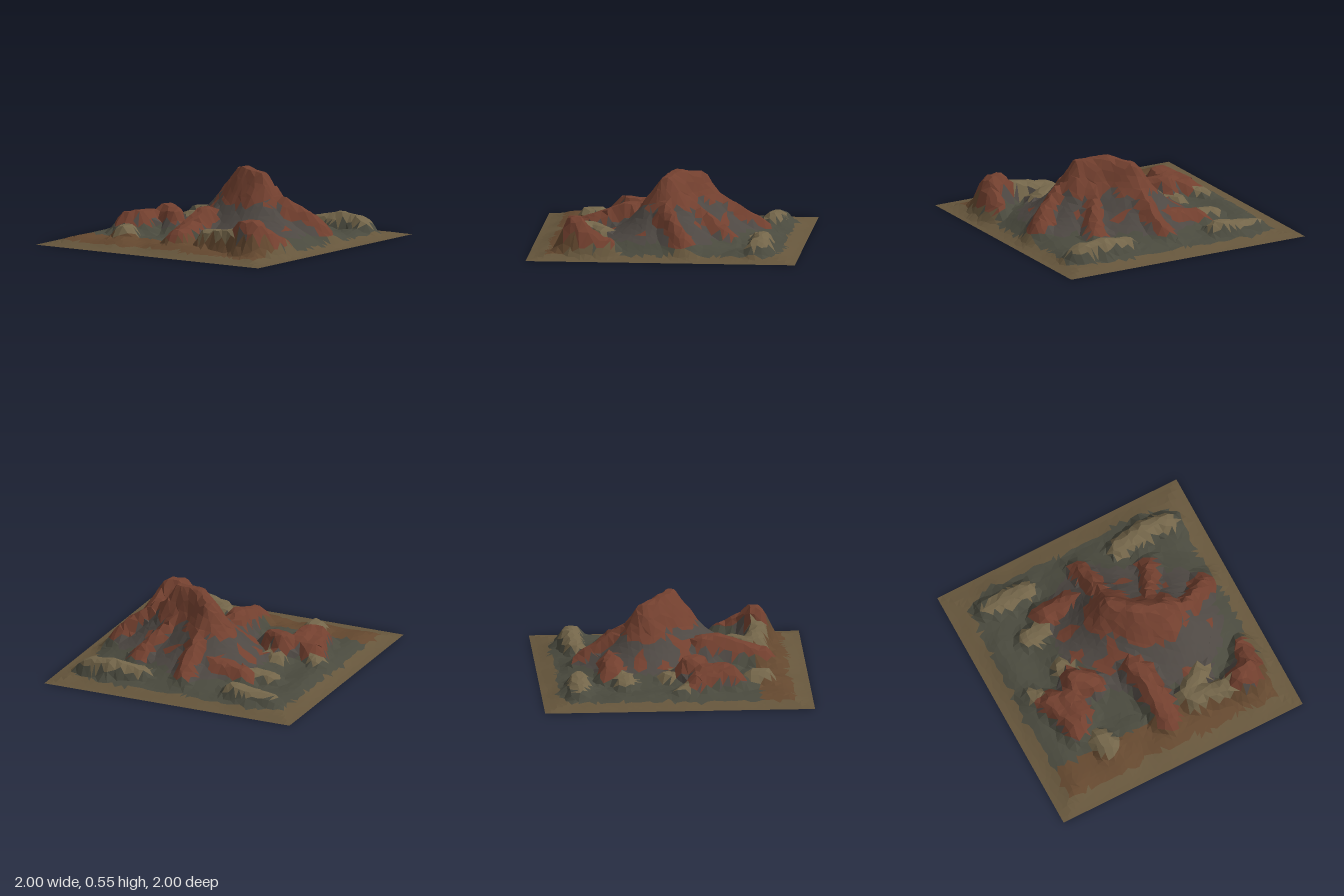
import * as THREE from 'three';

const CELLS = 46;
const TONES = {
  sandyBorder: 0x66563c, valleyFloor: 0x4a4a3e, slateSlope: 0x4e4843,
  redRock: 0x73402f, tanRock: 0x74664a, brownFoot: 0x64482f,
};

// Crest lines as chains of [x, z, height], sharing one slope shape per kind
const mountain = {
  tone: 'redRock', flat: 0.04, width: 0.26, power: 1.05,
  crests: [[[0.02, -0.21, 0.52], [0.16, -0.06, 0.555], [0.35, 0.01, 0.53]]],
};
const spurs = {
  tone: 'redRock', flat: 0.02, width: 0.12, power: 1.4,
  crests: [
    [[0.47, 0.01, 0.37], [0.54, 0, 0.37], [0.8, -0.14, 0.2]],
    [[0.05, -0.3, 0.4], [0.02, -0.64, 0.19]],
    [[0.3, -0.1, 0.4], [0.46, -0.42, 0.2]],
  ],
};
const redHills = {
  tone: 'redRock', flat: 0.035, width: 0.1, power: 1.8,
  crests: [
    [[0, 0.22, 0.28], [0.04, 0.33, 0.28], [0.06, 0.66, 0.17]],
    [[0.66, 0.66, 0.29], [0.74, 0.64, 0.29]],
    [[0.78, 0.6, 0.26], [0.82, 0.42, 0.16]],
    [[-0.65, 0.16, 0.18], [-0.58, 0.4, 0.21]],
    [[-0.52, 0.2, 0.21], [-0.52, 0.34, 0.22]],
    [[-0.43, 0.1, 0.25], [-0.33, 0.17, 0.23]],
    [[-0.36, -0.47, 0.17], [-0.16, -0.46, 0.2]],
  ],
};
const tanHills = {
  tone: 'tanRock', flat: 0.03, width: 0.08, power: 2,
  crests: [
    [[0.42, 0.47, 0.16], [0.26, 0.57, 0.17], [0.3, 0.64, 0.18], [0.6, 0.67, 0.22]],
    [[-0.46, 0.58, 0.15], [-0.44, 0.66, 0.15]],
    [[-0.78, 0.02, 0.1], [-0.7, 0.1, 0.13]],
    [[-0.46, -0.06, 0.14], [-0.42, 0.02, 0.14]],
    [[-0.56, -0.38, 0.12], [-0.44, -0.38, 0.13]],
    [[-0.74, -0.74, 0.1], [-0.42, -0.72, 0.14]],
    [[0.36, -0.7, 0.13], [0.56, -0.73, 0.17], [0.8, -0.7, 0.14]],
  ],
};

const { clamp, lerp, smoothstep } = THREE.MathUtils;

// Repeatable value in 0..1 for a lattice point
function hash(i, j, seed) {
  const s = Math.sin(i * 127.1 + j * 311.7 + seed * 74.7) * 43758.5453;
  return s - Math.floor(s);
}

// Smooth value noise in -1..1
function noise(x, z, seed) {
  const i = Math.floor(x), j = Math.floor(z);
  const u = smoothstep(x - i, 0, 1), v = smoothstep(z - j, 0, 1);
  const a = lerp(hash(i, j, seed), hash(i + 1, j, seed), u);
  const b = lerp(hash(i, j + 1, seed), hash(i + 1, j + 1, seed), u);
  return lerp(a, b, v) * 2 - 1;
}

// Height at a point, with the strongest ridge there and how near its crest is
function sample(x, z) {
  const edge = 1 - Math.max(Math.abs(x), Math.abs(z));
  const mask = smoothstep(edge, -0.02, 0.26);
  const rough = noise(x * 9, z * 9, 1) * 0.6 + noise(x * 19, z * 19, 2) * 0.4;
  let best = 0, near = 0, tone = 'valleyFloor';
  for (const kind of [mountain, spurs, redHills, tanHills]) {
    for (const crest of kind.crests) {
      for (let k = 1; k < crest.length; k++) {
        const [x0, z0, h0] = crest[k - 1], [x1, z1, h1] = crest[k];
        const dx = x1 - x0, dz = z1 - z0;
        const t = clamp(((x - x0) * dx + (z - z0) * dz) / (dx * dx + dz * dz), 0, 1);
        const gap = Math.max(0, Math.hypot(x - x0 - dx * t, z - z0 - dz * t) - kind.flat);
        const d = gap + rough * Math.min(0.045, gap * 0.6);
        const fall = Math.exp(-Math.pow(d / kind.width, kind.power));
        const h = lerp(h0, h1, t) * fall;
        if (h > best) { best = h; near = fall; tone = kind.tone; }
      }
    }
  }
  const floor = 0.055 + 0.02 * noise(x * 5, z * 5, 3);
  const crag = 0.03 * rough * clamp(best * 5, 0, 1) * (near > 0.96 ? 0.15 : 1);
  const y = Math.max(0, (Math.max(best, floor) + crag) * mask);
  return { y: edge <= 0 ? 0 : Math.min(y, 0.555), near, tone, edge };
}

// Ground colour: sandy rim, bare rock near crests, slate slopes, olive valleys
function pickTone(x, z, y) {
  const { near, tone, edge } = sample(x, z);
  const patch = noise(x * 12, z * 12, 5) * 0.12;
  if (edge < 0.12 + patch * 0.3 || (edge < 0.2 && y < 0.03)) return 'sandyBorder';
  if (near > 0.62 + patch && y > 0.09) return tone;
  if (z > 0.62 && y < 0.17) return 'brownFoot';
  if (y > 0.11 + patch * 0.2) return patch > 0.055 ? 'redRock' : 'slateSlope';
  return 'valleyFloor';
}

export function createModel() {
  const group = new THREE.Group();
  group.name = 'mountainTerrain';

  // Irregular grid of ground points, straight along the border
  const points = [];
  const size = 2 / CELLS;
  for (let j = 0; j <= CELLS; j++) {
    for (let i = 0; i <= CELLS; i++) {
      const inside = i > 0 && j > 0 && i < CELLS && j < CELLS;
      const shift = inside ? size * 0.7 : 0;
      const x = -1 + i * size + (hash(i, j, 7) - 0.5) * shift;
      const z = -1 + j * size + (hash(i, j, 8) - 0.5) * shift;
      points.push(new THREE.Vector3(x, inside ? sample(x, z).y : 0, z));
    }
  }

  // Sort the faces into one surface per ground colour
  const faces = {};
  for (const name in TONES) faces[name] = [];
  const addFace = (a, b, c) => {
    const x = (a.x + b.x + c.x) / 3, y = (a.y + b.y + c.y) / 3, z = (a.z + b.z + c.z) / 3;
    faces[pickTone(x, z, y)].push(a, b, c);
  };
  for (let j = 0; j < CELLS; j++) {
    for (let i = 0; i < CELLS; i++) {
      const k = j * (CELLS + 1) + i;
      const a = points[k], b = points[k + 1];
      const c = points[k + CELLS + 1], d = points[k + CELLS + 2];
      // Split along the flatter diagonal so crests stay sharp
      if (Math.abs(a.y - d.y) < Math.abs(b.y - c.y)) {
        addFace(a, c, d);
        addFace(a, d, b);
      } else {
        addFace(a, c, b);
        addFace(b, c, d);
      }
    }
  }

  for (const name in TONES) {
    const geometry = new THREE.BufferGeometry().setFromPoints(faces[name]);
    geometry.computeVertexNormals();
    const material = new THREE.MeshStandardMaterial({
      color: TONES[name], flatShading: true, side: THREE.DoubleSide,
    });
    const mesh = new THREE.Mesh(geometry, material);
    mesh.name = name;
    group.add(mesh);
  }
  return group;
}
